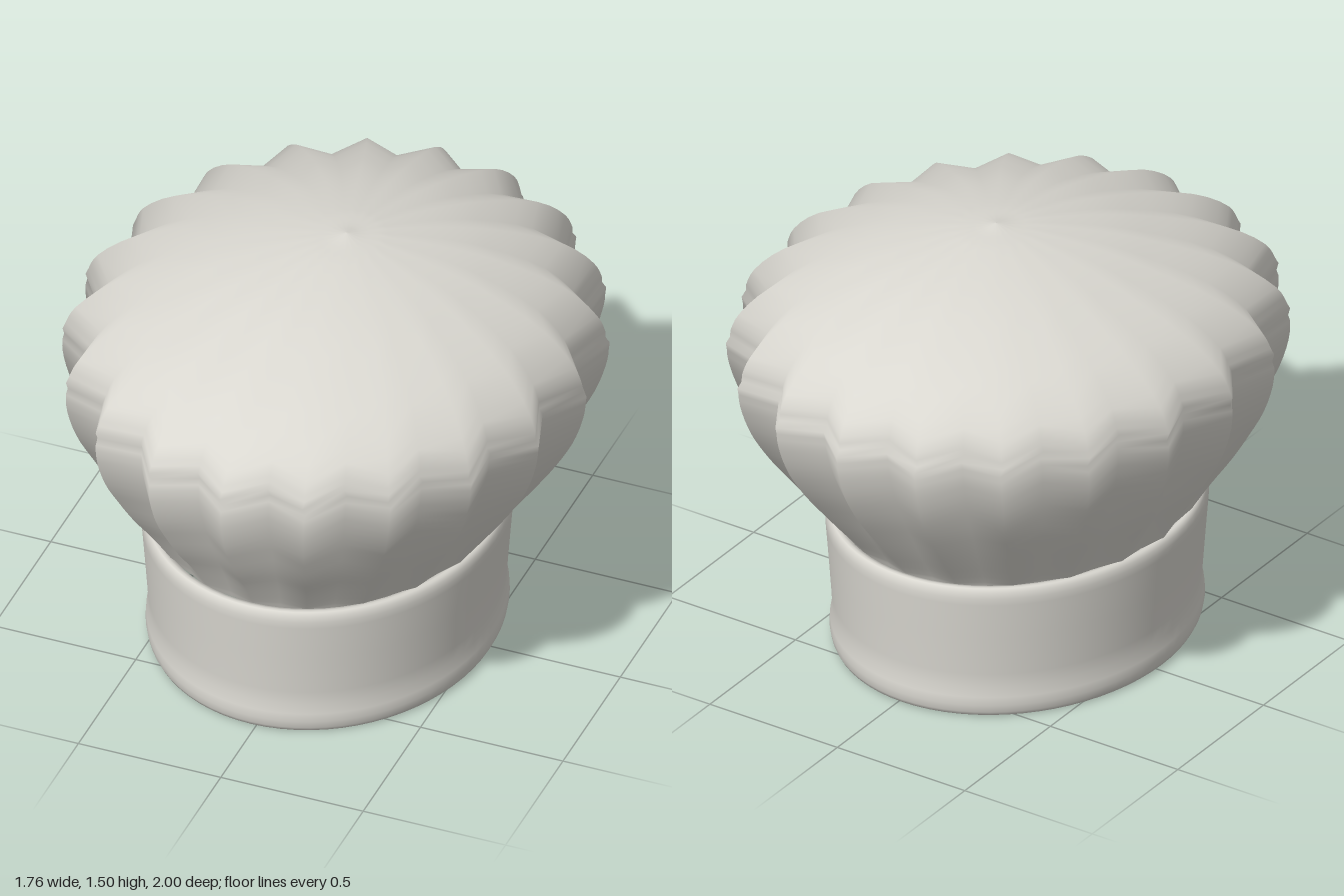
import * as THREE from 'three';

// Loft closed rings; each ring returns a point for angle a. Indices wrap, so normals stay smooth all round.
function loft(rings, segments, closed) {
  const pos = [], idx = [];
  for (const ring of rings)
    for (let j = 0; j < segments; j++) pos.push(...ring((j / segments) * Math.PI * 2, j));
  const rows = closed ? rings.length : rings.length - 1;
  for (let i = 0; i < rows; i++)
    for (let j = 0; j < segments; j++) {
      const k = (j + 1) % segments, n = (i + 1) % rings.length;
      const a = i * segments + j, b = i * segments + k;
      const c = n * segments + k, d = n * segments + j;
      idx.push(a, b, c, a, c, d);
    }
  const g = new THREE.BufferGeometry();
  g.setAttribute('position', new THREE.Float32BufferAttribute(pos, 3));
  g.setIndex(idx);
  g.computeVertexNormals();
  return g;
}

// Elliptical ring, angle 0 at +z, running counter-clockwise seen from above
const point = (y, rx, rz, cx, cz, a) => [cx + Math.sin(a) * rx, y, cz + Math.cos(a) * rz];

export function createModel() {
  const group = new THREE.Group();
  const cloth = new THREE.MeshStandardMaterial({ color: 0xd9d7d0, side: THREE.DoubleSide });
  cloth.name = 'off-white cloth';

  // Head band: closed wall section, half width in x and height, outside going up then inside going down
  const section = [
    [0.555, 0], [0.566, 0.004], [0.573, 0.018], [0.578, 0.045], [0.576, 0.075], [0.569, 0.11],
    [0.571, 0.16], [0.581, 0.3], [0.591, 0.43], [0.592, 0.455], [0.588, 0.475], [0.58, 0.488],
    [0.57, 0.489], [0.555, 0.485], [0.548, 0.47], [0.546, 0.43], [0.536, 0.3], [0.529, 0.11],
    [0.534, 0.05], [0.536, 0.02], [0.543, 0.004],
  ];
  const bandGeo = loft(
    section.map(([r, y]) => (a) => point(y, r, r + 0.103, -0.0175, 0.025, a)), 72, true);
  const band = new THREE.Mesh(bandGeo, cloth);
  band.name = 'headBand';
  group.add(band);

  // Puffed crown: height, half width, sideways drift of the centre, pleat depth
  const profile = [
    [0.46, 0.56, -0.018, 0.02], [0.49, 0.577, -0.0175, 0.03], [0.6, 0.652, -0.012, 0.055],
    [0.7, 0.722, -0.01, 0.075], [0.8, 0.785, -0.006, 0.09], [0.9, 0.838, -0.004, 0.1],
    [1.0, 0.87, -0.002, 0.1], [1.07, 0.878, 0, 0.1], [1.14, 0.867, 0, 0.1],
    [1.2, 0.838, 0.002, 0.1], [1.3, 0.722, 0.012, 0.1], [1.4, 0.495, 0.022, 0.1],
    [1.45, 0.325, 0.024, 0.1], [1.485, 0.14, 0.025, 0.1], [1.494, 0.05, 0.025, 0.1],
    [1.503, 0.001, 0.025, 0],
  ];
  const shape = new THREE.CatmullRomCurve3(profile.map(([y, r]) => new THREE.Vector3(r, y, 0)));
  const extra = new THREE.CatmullRomCurve3(profile.map(([, , c, d]) => new THREE.Vector3(c, d, 0)));
  const steps = (profile.length - 1) * 3;
  const rings = [];
  for (let i = 0; i <= steps; i++) {
    const { x: r, y } = shape.getPoint(i / steps);
    const { x: drift, y: depth } = extra.getPoint(i / steps);
    // Twenty pleats: ridges and valleys alternate around the ring
    rings.push((a, j) => {
      const s = r * (j % 2 ? 1 - depth : 1);
      return point(y, s, s * 1.139, drift, -1.4 * drift, a);
    });
  }
  const crown = new THREE.Mesh(loft(rings, 40, false), cloth);
  crown.name = 'pleatedCrown';
  group.add(crown);

  return group;
}
